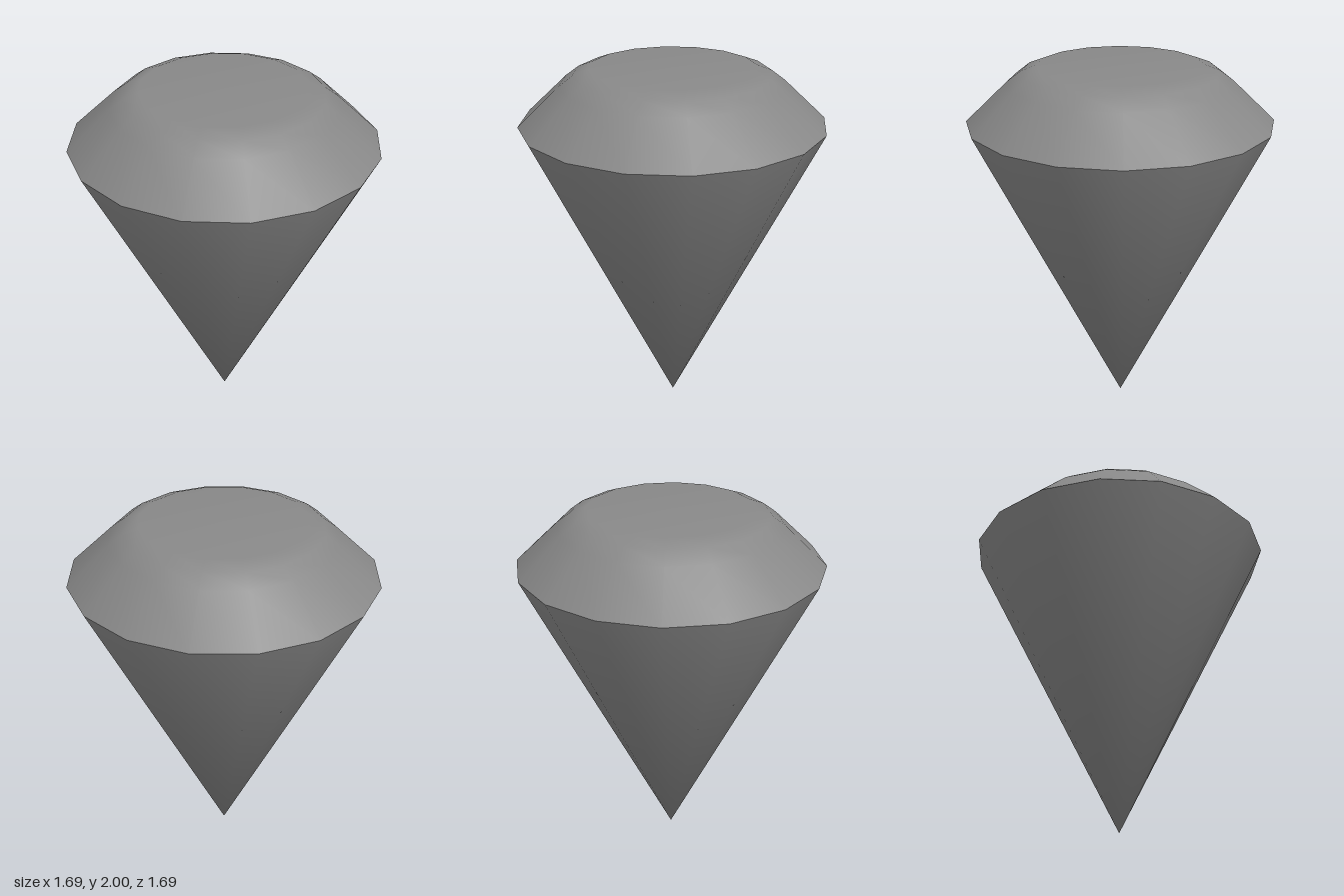
import * as THREE from 'three';
import { mergeVertices } from 'three/addons/utils/BufferGeometryUtils.js';

const SIDES = 16;
const GIRDLE = [0.845, 1.69];

// Revolve a bottom-to-top profile and weld it so it shades smoothly, poles included
function revolve(name, profile, material) {
  const lathe = new THREE.LatheGeometry(profile.map(([r, y]) => new THREE.Vector2(r, y)), SIDES);
  lathe.deleteAttribute('normal');
  lathe.deleteAttribute('uv');
  const geometry = mergeVertices(lathe, 1e-4);
  geometry.computeVertexNormals();
  const mesh = new THREE.Mesh(geometry, material);
  mesh.name = name;
  return mesh;
}

export function createModel() {
  const group = new THREE.Group();
  group.name = 'gem';
  const material = new THREE.MeshStandardMaterial({ color: 0x888888 });

  // Pointed lower cone
  group.add(revolve('pavilion', [[0, 0], GIRDLE], material));

  // Sloping upper part, rounded over into the flat table; separate so the girdle stays sharp
  group.add(revolve('crown', [GIRDLE, [0.615, 1.91], [0.54, 1.967], [0.455, 2], [0, 2]], material));

  return group;
}
